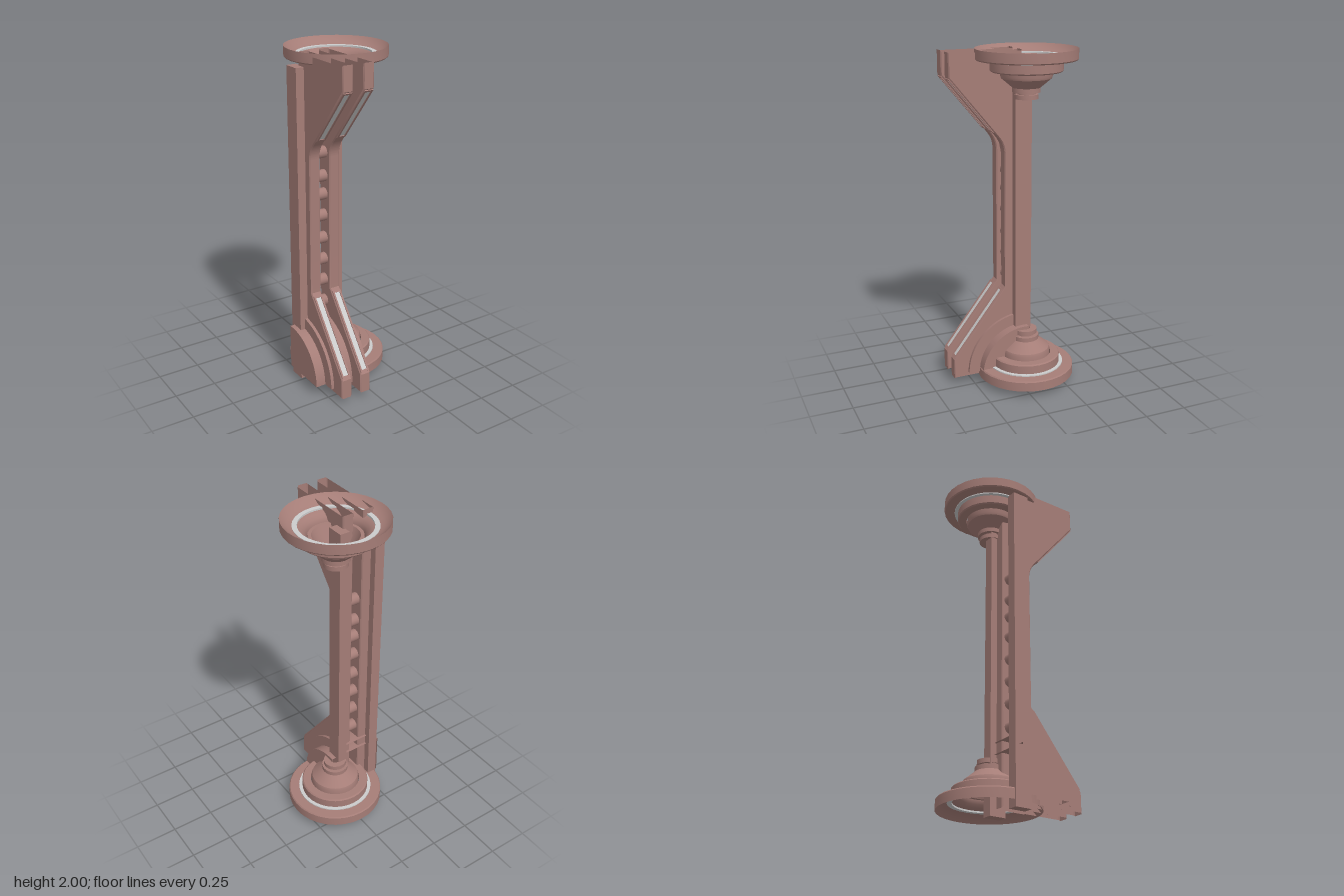
import * as THREE from 'three';
import { toCreasedNormals } from 'three/addons/utils/BufferGeometryUtils.js';

const brown = new THREE.MeshStandardMaterial({ color: 0xa57d77 });
const brownShell = new THREE.MeshStandardMaterial({ color: 0xa57d77, side: THREE.DoubleSide });
const grey = new THREE.MeshStandardMaterial({ color: 0xcccccc });

function add(parent, name, geometry, material = brown) {
  const mesh = new THREE.Mesh(geometry, material);
  mesh.name = name;
  parent.add(mesh);
  return mesh;
}

// Keep only the triangles whose centre (x, y, z) passes the test
function keepFaces(geometry, test) {
  const p = geometry.attributes.position, out = [];
  const t = [0, 1, 2].map(() => new THREE.Vector3()), c = new THREE.Vector3();
  for (let i = 0; i < p.count; i += 3) {
    c.set(0, 0, 0);
    t.forEach((v, k) => c.add(v.fromBufferAttribute(p, i + k)));
    if (test(c.divideScalar(3))) t.forEach((v) => out.push(v.x, v.y, v.z));
  }
  const result = new THREE.BufferGeometry();
  result.setAttribute('position', new THREE.Float32BufferAttribute(out, 3));
  return toCreasedNormals(result, 0.5);
}

// Extrude a (z, y) profile along x, centred on x = cx
function slab(shape, cx, width, bevel) {
  const g = new THREE.ExtrudeGeometry(shape, {
    depth: width - 2 * bevel, bevelEnabled: bevel > 0, bevelSegments: 1, curveSegments: 20,
    bevelSize: bevel, bevelThickness: bevel, bevelOffset: -bevel,
  });
  g.rotateY(-Math.PI / 2);
  g.translate(cx + width / 2 - bevel, 0, 0);
  return g;
}

// Side rail: hollow, open at its top and bottom ends
function railGeometry(cx) {
  const s = new THREE.Shape();
  s.moveTo(-0.07, 0.04);
  s.lineTo(0.366, 0.04);
  s.lineTo(0.366, 0.16);
  s.lineTo(0.036, 0.585);
  s.lineTo(0.036, 1.4);
  s.quadraticCurveTo(0.036, 1.455, 0.075, 1.5);
  s.lineTo(0.366, 1.85);
  s.lineTo(0.366, 1.987);
  s.lineTo(-0.07, 1.987);
  s.closePath();
  return keepFaces(slab(s, cx, 0.067, 0.006), (c) => c.y < 1.98 && c.y > 0.047);
}

function rectangle(target, w, h) {
  target.moveTo(-w / 2, -h / 2);
  target.lineTo(w / 2, -h / 2);
  target.lineTo(w / 2, h / 2);
  target.lineTo(-w / 2, h / 2);
  target.closePath();
  return target;
}

// Framed light strip set into a sloping rail face, between (z, y) points a and b
function addStrip(parent, cx, a, b) {
  const dz = b[0] - a[0], dy = b[1] - a[1], length = Math.hypot(dz, dy);
  const g = new THREE.Group();
  g.name = 'light';
  g.position.set(cx, (a[1] + b[1]) / 2, (a[0] + b[0]) / 2);
  g.rotation.x = Math.atan2(dz, dy);
  const frame = rectangle(new THREE.Shape(), 0.055, length + 0.024);
  frame.holes.push(rectangle(new THREE.Path(), 0.034, length));
  add(g, 'lightFrame', new THREE.ExtrudeGeometry(frame, { depth: 0.008, bevelEnabled: false }))
    .position.z = -0.002;
  add(g, 'lightStrip', new THREE.BoxGeometry(0.033, length, 0.008), grey).position.z = -0.002;
  parent.add(g);
}

// Quarter drum: curved cover with two side cheeks, open behind and below
function drumGeometry(cx, width, radius) {
  const s = new THREE.Shape();
  s.moveTo(-0.085, 0.067);
  s.lineTo(-0.06 + radius, 0.067);
  s.absarc(-0.06, 0.067, radius, 0, Math.PI / 2, false);
  s.lineTo(-0.085, 0.067 + radius);
  s.closePath();
  return keepFaces(slab(s, cx, width, 0), (c) => c.y > 0.068 && c.z > -0.084);
}

// Lathe of a closed (r, y) profile; flip gives the upside-down lower copy
function ringGeometry(profile, flip) {
  let pts = [...profile, profile[0]].map(([r, y]) => new THREE.Vector2(r, flip ? 2.04 - y : y));
  if (flip) pts = pts.reverse();
  return toCreasedNormals(new THREE.LatheGeometry(pts, 32), 0.5);
}

const outerProfile = [
  [0.153, 1.873], [0.2, 1.873], [0.207, 1.88], [0.207, 1.936], [0.285, 1.938], [0.291, 1.945],
  [0.291, 2], [0.275, 1.982], [0.252, 1.966], [0.227, 1.955], [0.2, 1.948], [0.18, 1.938],
  [0.164, 1.922], [0.153, 1.9],
];
const bandProfile = [[0.201, 1.93], [0.228, 1.93], [0.228, 1.958], [0.201, 1.958]];
const hubProfile = [
  [0.03, 1.72], [0.069, 1.72], [0.069, 1.746], [0.055, 1.746], [0.055, 1.757], [0.08, 1.757],
  [0.08, 1.783], [0.143, 1.836], [0.148, 1.85], [0.148, 1.9], [0.129, 1.9], [0.084, 1.8], [0.03, 1.8],
];

export function createModel() {
  const model = new THREE.Group();
  model.name = 'column';

  // Upper and lower stepped dishes
  for (const flip of [false, true]) {
    const dish = new THREE.Group();
    dish.name = flip ? 'lowerDish' : 'upperDish';
    dish.position.set(0.017, 0, -0.075);
    add(dish, 'dishRim', ringGeometry(outerProfile, flip));
    add(dish, 'lightRing', ringGeometry(bandProfile, flip), grey);
    add(dish, 'dishHub', ringGeometry(hubProfile, flip));
    model.add(dish);
  }

  // Back posts
  for (const x of [-0.248, -0.015]) {
    add(model, 'backPost', new THREE.BoxGeometry(0.06, 1.913, 0.1)).position.set(x, 0.9565, -0.061);
  }

  // Pair of side rails with lights on both slopes
  for (const x of [-0.195, -0.066]) {
    const rail = new THREE.Group();
    rail.name = 'rail';
    add(rail, 'railBody', railGeometry(x), brownShell);
    addStrip(rail, x, [0.35, 0.181], [0.057, 0.558]);
    addStrip(rail, x, [0.108, 1.54], [0.354, 1.836]);
    model.add(rail);
  }

  // Rungs between the rails
  for (const y of [0.49, 0.63, 0.765, 0.9, 1.04, 1.17, 1.28, 1.42]) {
    const rung = add(model, 'rung', new THREE.CylinderGeometry(0.035, 0.035, 0.07, 16));
    rung.rotation.z = Math.PI / 2;
    rung.position.set(-0.131, y, -0.02);
  }

  // Nested quarter drums at the foot
  add(model, 'innerDrum', drumGeometry(-0.131, 0.233, 0.339), brownShell);
  add(model, 'outerDrum', drumGeometry(-0.131, 0.352, 0.272), brownShell);
  return model;
}
